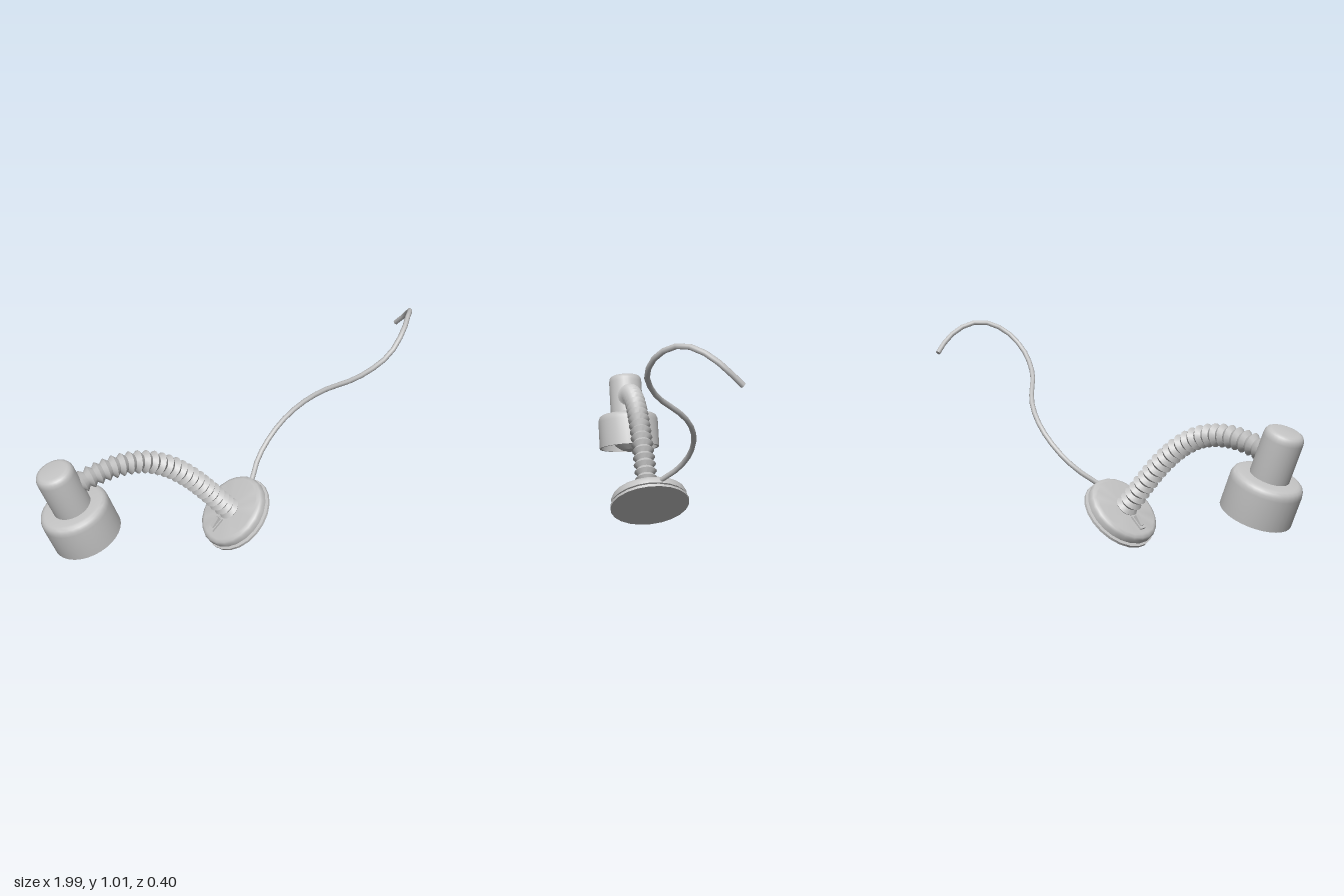
import * as THREE from 'three';
import { toCreasedNormals } from 'three/addons/utils/BufferGeometryUtils.js';

const V = (x, y, z) => new THREE.Vector3(x, y, z);

export function createModel() {
  const model = new THREE.Group();
  const grey = new THREE.MeshStandardMaterial({ color: 0xc3c3c3 });
  grey.name = 'lightGrey';

  const add = (parent, name, geometry) => {
    const mesh = new THREE.Mesh(geometry, grey);
    mesh.name = name;
    parent.add(mesh);
    return mesh;
  };
  const turned = (profile, sides, crease = 0.9) =>
    toCreasedNormals(
      new THREE.LatheGeometry(profile.map(([r, y]) => new THREE.Vector2(r, y)), sides), crease);
  // Closes a tube end with a disc facing along the given direction
  const endCap = (point, direction, radius, sides) => {
    const cap = new THREE.CircleGeometry(radius, sides);
    cap.applyQuaternion(new THREE.Quaternion().setFromUnitVectors(V(0, 0, 1), direction));
    return cap.translate(point.x, point.y, point.z);
  };

  // Tilted wall base with a flange, groove and rounded upper edge
  const base = new THREE.Group();
  base.name = 'base';
  base.position.set(-0.024, 0.132, 0.007);
  base.rotation.z = 0.757;
  model.add(base);
  add(base, 'basePlate', turned([
    [0, 0], [0.19, 0], [0.19, 0.012], [0.174, 0.014], [0.174, 0.022], [0.183, 0.024],
    [0.183, 0.046], [0.177, 0.058], [0.163, 0.065], [0.155, 0.066], [0, 0.066]], 22));

  // Rocker switch on the lower side of the base
  add(base, 'switchFrame', new THREE.BoxGeometry(0.075, 0.016, 0.036)).position.set(-0.098, 0.067, 0);
  const rocker = add(base, 'switchRocker', new THREE.BoxGeometry(0.055, 0.025, 0.022));
  rocker.position.set(-0.093, 0.075, 0);
  rocker.rotation.z = 0.2;

  // Ribbed flexible neck: a tube whose rings alternate between ridge and groove
  const neckPath = new THREE.CatmullRomCurve3([
    V(-0.062, 0.17, 0.008), V(-0.105, 0.218, 0.008), V(-0.18, 0.31, 0.008), V(-0.285, 0.425, 0.008),
    V(-0.39, 0.51, 0.008), V(-0.5, 0.562, 0.007), V(-0.63, 0.577, 0.006), V(-0.75, 0.557, 0.004),
    V(-0.81, 0.537, 0.002)]);
  const steps = 48, sides = 16;
  const ribbed = new THREE.TubeGeometry(neckPath, steps, 1, sides);
  const pos = ribbed.attributes.position;
  const p = V(0, 0, 0);
  for (let i = 0; i <= steps; i++) {
    const centre = neckPath.getPointAt(i / steps);
    const radius = (i % 2 ? 0.056 : 0.038) - 0.004 * (i / steps);
    for (let j = 0; j <= sides; j++) {
      const k = i * (sides + 1) + j;
      p.fromBufferAttribute(pos, k).sub(centre).multiplyScalar(radius).add(centre);
      pos.setXYZ(k, p.x, p.y, p.z);
    }
  }
  add(model, 'neck', toCreasedNormals(ribbed, 0.5));

  // Short arm joining neck and lamp head
  add(model, 'neckConnector', new THREE.TubeGeometry(
    new THREE.LineCurve3(V(-0.78, 0.547, 0.003), V(-0.88, 0.52, -0.003)), 1, 0.035, 12));

  // Lamp head, built upright from the shade opening and then tilted
  const head = new THREE.Group();
  head.name = 'lampHead';
  head.position.set(-0.787, 0.259, -0.007);
  head.rotation.z = 0.355;
  model.add(head);
  add(head, 'shade', turned([
    [0, 0.165], [0.135, 0.165], [0.15, 0.145], [0.151, 0], [0.161, 0], [0.161, 0.14],
    [0.159, 0.156], [0.153, 0.17], [0.142, 0.178], [0.13, 0.181], [0.08, 0.182]], 32));
  add(head, 'lampHousing', turned([
    [0.088, 0.17], [0.088, 0.36], [0.086, 0.376], [0.079, 0.389], [0.068, 0.395],
    [0.058, 0.397], [0, 0.397]], 28)).position.z = 0.004;
  add(head, 'bulb', turned([
    [0, -0.022], [0.042, -0.012], [0.078, 0.014], [0.097, 0.05], [0.1, 0.082],
    [0.088, 0.115], [0.06, 0.142], [0.04, 0.17]], 14, 0.3));

  // Power cord waving up from the base and hooking over at the tip
  const cordPoints = [
    V(0.05, 0.26, -0.01), V(0.075, 0.283, -0.032), V(0.135, 0.34, -0.09), V(0.205, 0.406, -0.125),
    V(0.29, 0.487, -0.137), V(0.37, 0.562, -0.12), V(0.44, 0.627, -0.08), V(0.5, 0.684, -0.02),
    V(0.55, 0.73, 0.045), V(0.62, 0.793, 0.105), V(0.71, 0.875, 0.14), V(0.8, 0.96, 0.112),
    V(0.875, 1.003, 0.045), V(0.928, 0.998, -0.012), V(0.965, 0.963, -0.075),
    V(0.983, 0.92, -0.125), V(0.98, 0.858, -0.19)];
  const cordPath = new THREE.CatmullRomCurve3(cordPoints);
  add(model, 'cord', new THREE.TubeGeometry(cordPath, 24, 0.012, 8));
  add(model, 'cordTip', endCap(cordPath.getPoint(1), cordPath.getTangent(1), 0.012, 8));

  return model;
}
